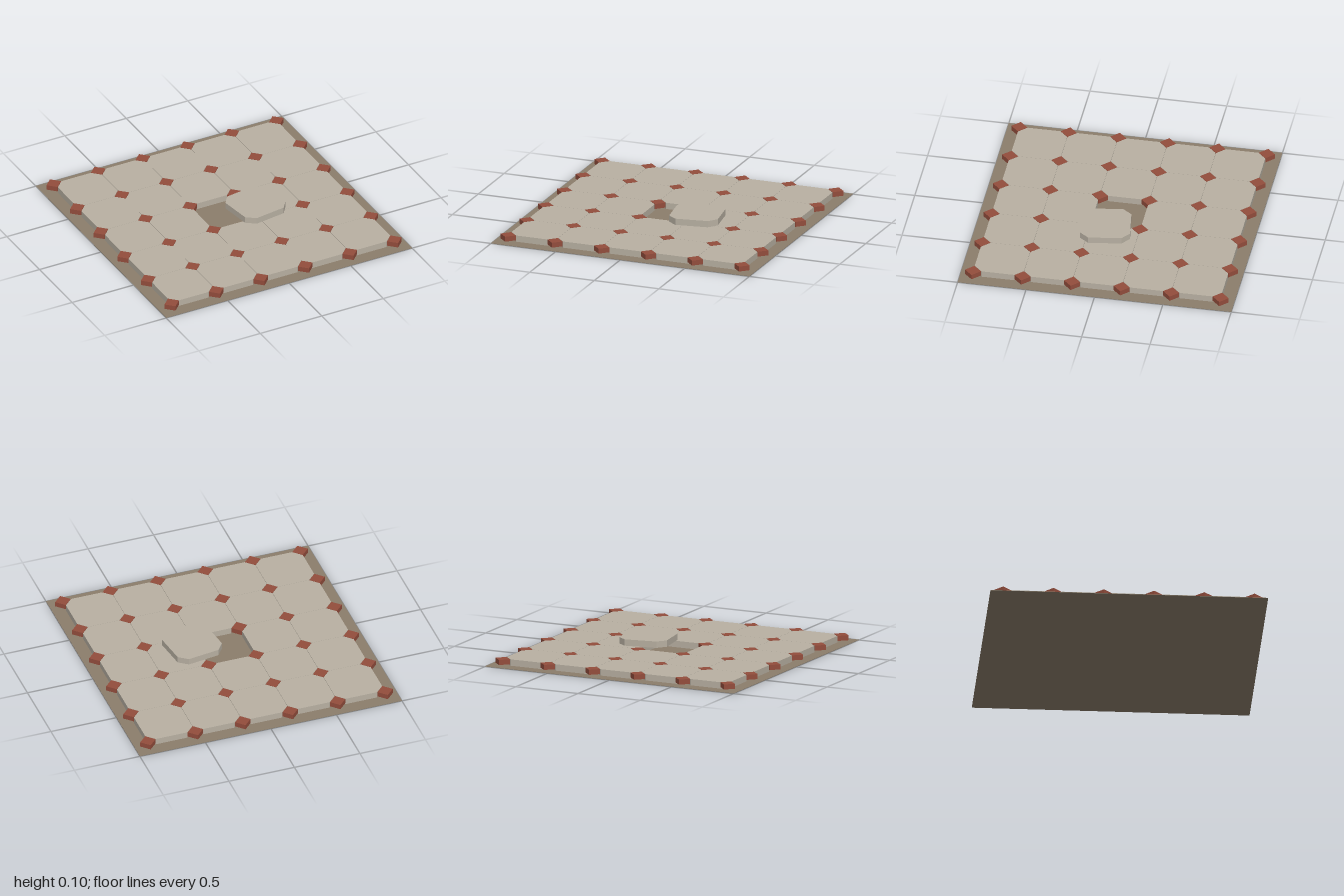
import * as THREE from 'three';

const mat = (name, color) => {
  const m = new THREE.MeshStandardMaterial({ color });
  m.name = name;
  return m;
};

// Square prism with clipped corners, standing on y = 0
function octagonPrism(half, cut, height) {
  const a = half - cut;
  const pts = [[-a, -half], [a, -half], [half, -a], [half, a], [a, half], [-a, half], [-half, a], [-half, -a]];
  const shape = new THREE.Shape(pts.map(([x, y]) => new THREE.Vector2(x, y)));
  const geo = new THREE.ExtrudeGeometry(shape, { depth: height, bevelEnabled: false });
  return geo.rotateX(-Math.PI / 2);
}

export function createModel() {
  const group = new THREE.Group();
  group.name = 'tiledFloor';

  const earth = mat('earthBrown', 0x8b7d6b);
  const stone = mat('paleStone', 0xb8b0a2);
  const terracotta = mat('terracotta', 0x934d3c);

  const add = (name, geo, material, x, y, z) => {
    const mesh = new THREE.Mesh(geo, material);
    mesh.name = name;
    mesh.position.set(x, y, z);
    group.add(mesh);
    return mesh;
  };

  const pitch = 0.362;
  const tileGeo = octagonPrism(0.18, 0.06, 0.047);
  const insetGeo = new THREE.BoxGeometry(0.083, 0.037, 0.083).rotateY(Math.PI / 4);

  // Mortar bed under the paving
  add('mortarBed', new THREE.BoxGeometry(2, 0.003, 2), earth, 0, 0.0015, 0);

  // Five by five octagonal tiles, with the middle one lifted out
  for (let i = -2; i <= 2; i++) {
    for (let j = -2; j <= 2; j++) {
      if (i === 0 && j === 0) continue;
      add('tile', tileGeo, stone, i * pitch, 0.003, j * pitch);
    }
  }

  // Diamond insets at every tile corner
  for (let i = 0; i < 6; i++) {
    for (let j = 0; j < 6; j++) {
      add('diamondInset', insetGeo, terracotta, (i - 2.5) * pitch, 0.032, (j - 2.5) * pitch);
    }
  }

  // Loose tile resting beside its gap
  add('looseTile', tileGeo, stone, 0.222, 0.051, 0.063).rotation.y = 0.145;

  return group;
}
